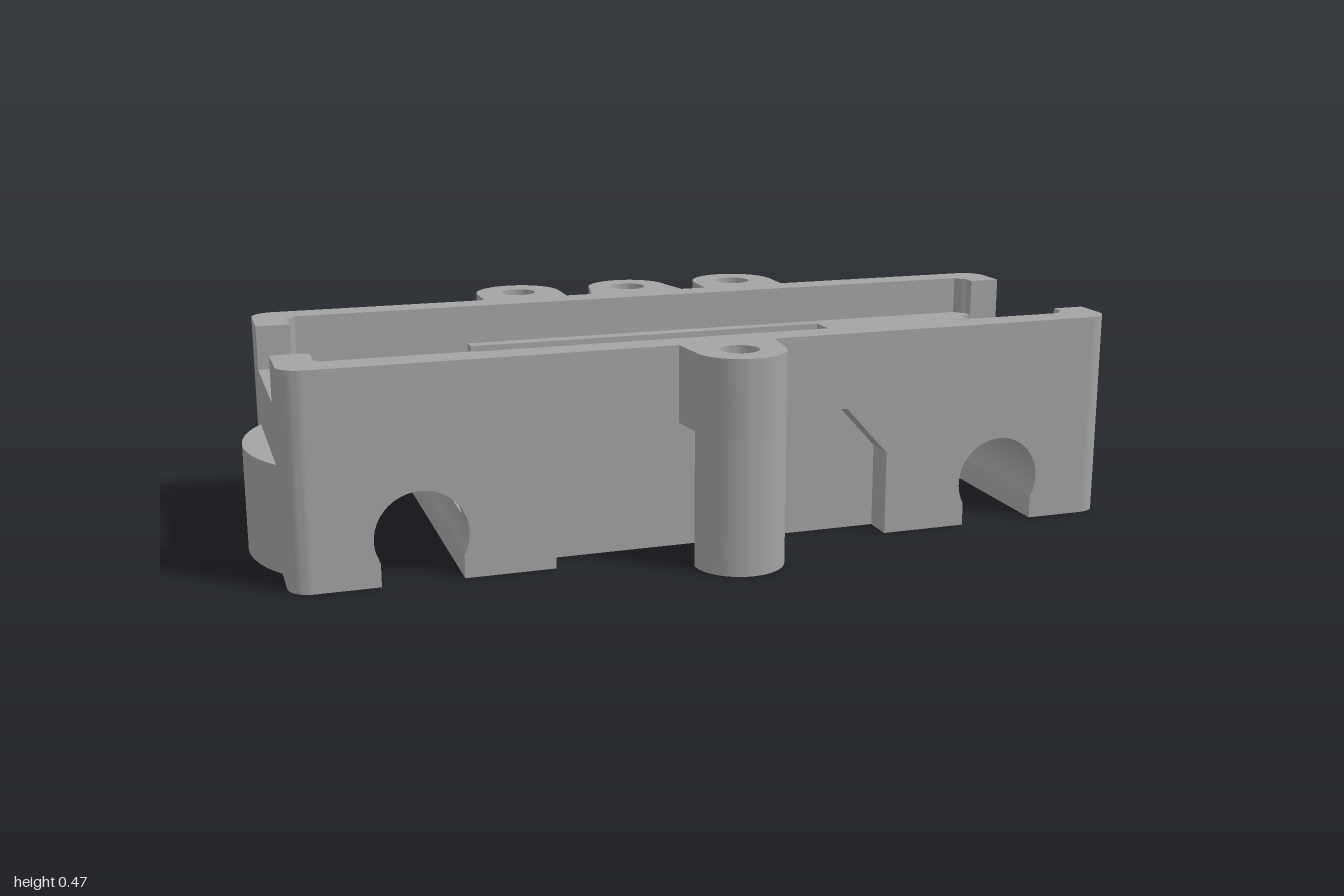
import * as THREE from 'three';
import { toCreasedNormals } from 'three/addons/utils/BufferGeometryUtils.js';

const H = 0.47, FLOOR = 0.38, NOTCH = 0.37, POCKET_Y = 0.12;
const X = 0.945, LIP = 0.87, OPEN = 0.447, CH = 0.67, BORE = 0.042;

export function createModel() {
  const group = new THREE.Group();
  const grey = new THREE.MeshStandardMaterial({ color: 0xa3a3a3 });
  grey.name = 'grey plastic';

  const outline = (pts) => new THREE.Shape(pts.map(([x, y]) => new THREE.Vector2(x, y)));
  const arc = (cx, cy, r, a0, a1, n) => Array.from({ length: n + 1 }, (_, i) => {
    const a = a0 + (a1 - a0) * i / n;
    return [cx + r * Math.cos(a), cy + r * Math.sin(a)];
  });
  const add = (name, geometry) => {
    const mesh = new THREE.Mesh(toCreasedNormals(geometry, 0.6), grey);
    mesh.name = name;
    group.add(mesh);
    return mesh;
  };
  const extrude = (shape, depth) =>
    new THREE.ExtrudeGeometry(shape, { depth, bevelEnabled: false, curveSegments: 24 });
  // front profile swept from z0 to z1
  const slab = (name, pts, z0, z1) => add(name, extrude(outline(pts), z1 - z0).translate(0, 0, z0));
  const slabPair = (name, pts, z0, z1) => {
    slab(name, pts, z0, z1);
    slab(name, pts, -z1, -z0);
  };
  // plan shape (x, -z) raised from y0 to y1
  const prism = (name, shape, y0, y1) =>
    add(name, extrude(shape, y1 - y0).rotateX(-Math.PI / 2).translate(0, y0, 0));

  // keyhole channel, listed from left to right
  const channel = (cx) => [[cx - 0.0875, 0],
    ...arc(cx, 0.1, 0.1, Math.PI + 0.505, -0.505, 28), [cx + 0.0875, 0]];
  const lowLeft = channel(-CH).filter(([x, y]) => x < -CH && y < POCKET_Y);
  const lowRight = channel(-CH).filter(([x, y]) => x > -CH && y < POCKET_Y);
  const leftEdge = [...lowLeft, [-CH - 0.098, POCKET_Y]];
  const rightEdge = [[-CH + 0.098, POCKET_Y], ...lowRight];

  // outer long walls with chamfered recess and channels
  const recess = [[-0.385, 0], [-0.385, 0.19], [-0.285, 0.3], [0.285, 0.3], [0.385, 0.19], [0.385, 0]];
  const wall = (xe) => [[-xe, 0], ...channel(-CH), ...recess, ...channel(CH), [xe, 0], [xe, H], [-xe, H]];
  slabPair('longWall', wall(X - 0.05), 0.28, 0.33);
  slabPair('longWall', wall(X), 0.26, 0.28);
  for (const sx of [-1, 1]) for (const sz of [-1, 1]) {
    add('roundedCorner', new THREE.CylinderGeometry(0.05, 0.05, H, 40)
      .translate(sx * (X - 0.05), H / 2, sz * 0.28));
  }

  // inner bands: floor, end lips and the deep side pockets
  slabPair('leftEnd', [[-X, 0], ...leftEdge, [-0.82, POCKET_Y], [-0.82, FLOOR],
    [-LIP, FLOOR], [-LIP, H], [-X, H]], 0.165, 0.26);
  slabPair('innerWall', [...rightEdge, ...channel(CH), [X, 0], [X, H], [LIP, H],
    [LIP, FLOOR], [-OPEN, FLOOR], [-OPEN, POCKET_Y]], 0.225, 0.26);
  slabPair('pocketFloor', [...rightEdge, [-OPEN, 0], [-OPEN, POCKET_Y]], 0.165, 0.225);
  const rightStart = [[OPEN, 0], ...channel(CH), [X, 0]];
  slabPair('rightEnd', [...rightStart, [X, H], [LIP, H], [LIP, FLOOR], [OPEN, FLOOR]], 0.205, 0.225);
  slabPair('rightNotch', [...rightStart, [X, NOTCH], [0.845, NOTCH], [0.845, FLOOR],
    [OPEN, FLOOR]], 0.165, 0.205);

  // central strip of both ends, with screw holes and bulges
  for (const s of [-1, 1]) {
    const c = s * CH, a = s < 0 ? -0.815 : 0.56, b = s < 0 ? -0.56 : 0.815;
    slab('channelBridge', [[a, 0], ...channel(c), [b, 0], [b, FLOOR], [a, FLOOR]], -0.165, 0.165);

    const end = outline([[s * 0.815, -0.165], [s * X, -0.165], [s * X, 0.165], [s * 0.815, 0.165]]);
    end.holes.push(new THREE.Path().absarc(s * 0.86, 0, BORE, 0, Math.PI * 2, true));
    prism('endBlock', end, 0, NOTCH);

    const notch = arc(-0.48, 0, BORE, -0.667, 0.667 - 2 * Math.PI, 28);
    const inner = [[-0.56, -0.165], [-OPEN, -0.165], ...notch, [-OPEN, 0.165], [-0.56, 0.165]];
    prism('innerBlock', outline(inner.map(([x, y]) => [-s * x, y])), 0, FLOOR);

    const t = Math.asin(0.18 / 0.322);
    const bulge = arc(1 - 0.322, 0, 0.322, -t, t, 24);
    prism('endBulge', outline([[0.93, -0.18], ...bulge, [0.93, 0.18]].map(([x, y]) => [s * x, y])), 0, 0.24);
  }

  // lugs: full above the recess, half shell with nut seat below
  const lug = (cx, r, cz, root, front) => {
    const top = outline([[cx - root, 0.32], [cx + root, 0.32], ...arc(cx, cz, r, 0, Math.PI, 32)]);
    top.holes.push(new THREE.Path().absarc(cx, cz, BORE, 0, Math.PI * 2, true));
    const shell = (ir, n) => outline([...arc(cx, cz, r, 0, Math.PI, 32), ...arc(cx, cz, ir, Math.PI, 0, n)]);
    const parts = [
      prism('lug', top, 0.3, H),
      prism('lugShell', shell(BORE, 20), 0.1, 0.3),
      prism('lugNutSeat', shell(0.075, 3), 0, 0.1),
    ];
    if (front) parts.forEach((m) => { m.rotation.y = Math.PI; });
  };
  lug(0, 0.1, 0.41, 0.11, true);
  lug(0, 0.1, 0.41, 0.12, false);
  for (const s of [-1, 1]) {
    lug(s * 0.285, 0.1035, 0.4125, 0.1035, false);
    // chamfer web and thin skirt joining the outer lugs to the wall
    slab('lugWeb', [[s * 0.285, 0.3], [s * 0.385, 0.19], [s * 0.385, 0.3]], -0.4125, -0.33);
    add('lugSkirt', new THREE.BoxGeometry(0.0055, 0.3, 0.0925).translate(s * 0.3858, 0.15, -0.36625));
  }
  return group;
}
